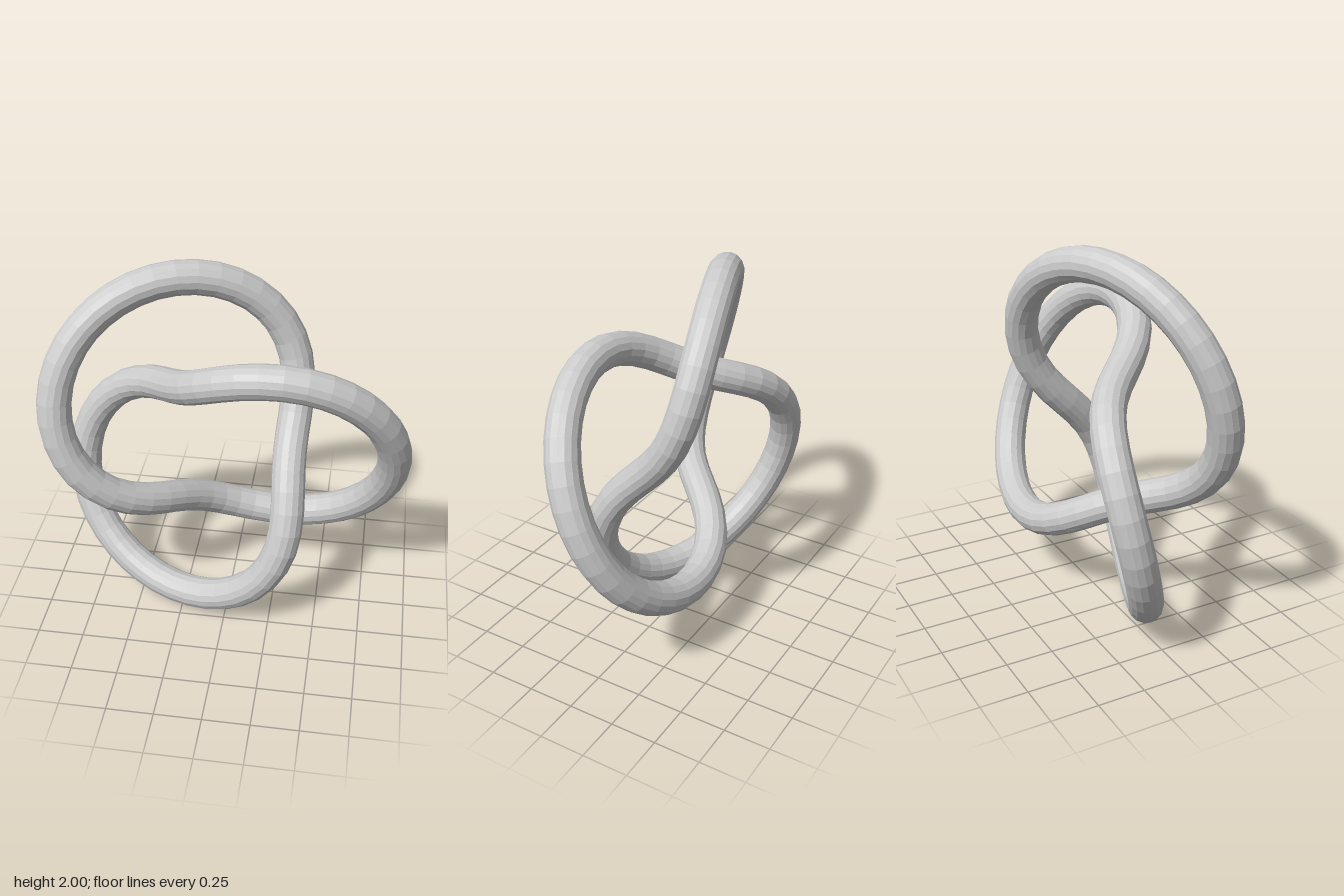
import * as THREE from 'three';

// Trefoil path: winds twice around the z axis while circling the ring three times
class TrefoilCurve extends THREE.Curve {
  constructor(ringRadius, swing) {
    super();
    this.ringRadius = ringRadius;
    this.swing = swing;
  }
  getPoint(t, target = new THREE.Vector3()) {
    const u = t * Math.PI * 4;
    const r = this.ringRadius + this.swing * Math.cos(1.5 * u);
    return target.set(r * Math.cos(u), r * Math.sin(u), this.swing * Math.sin(1.5 * u));
  }
}

export function createModel() {
  const group = new THREE.Group();
  group.name = 'trefoilKnot';

  // Closed round tube along the knot
  const path = new TrefoilCurve(0.6865, 0.2746);
  const tube = new THREE.Mesh(
    new THREE.TubeGeometry(path, 96, 0.0892, 16, true),
    new THREE.MeshStandardMaterial({ color: 0xcccccc, flatShading: true })
  );
  tube.name = 'knotTube';
  tube.position.set(-0.093, 1, 0);
  group.add(tube);
  return group;
}
